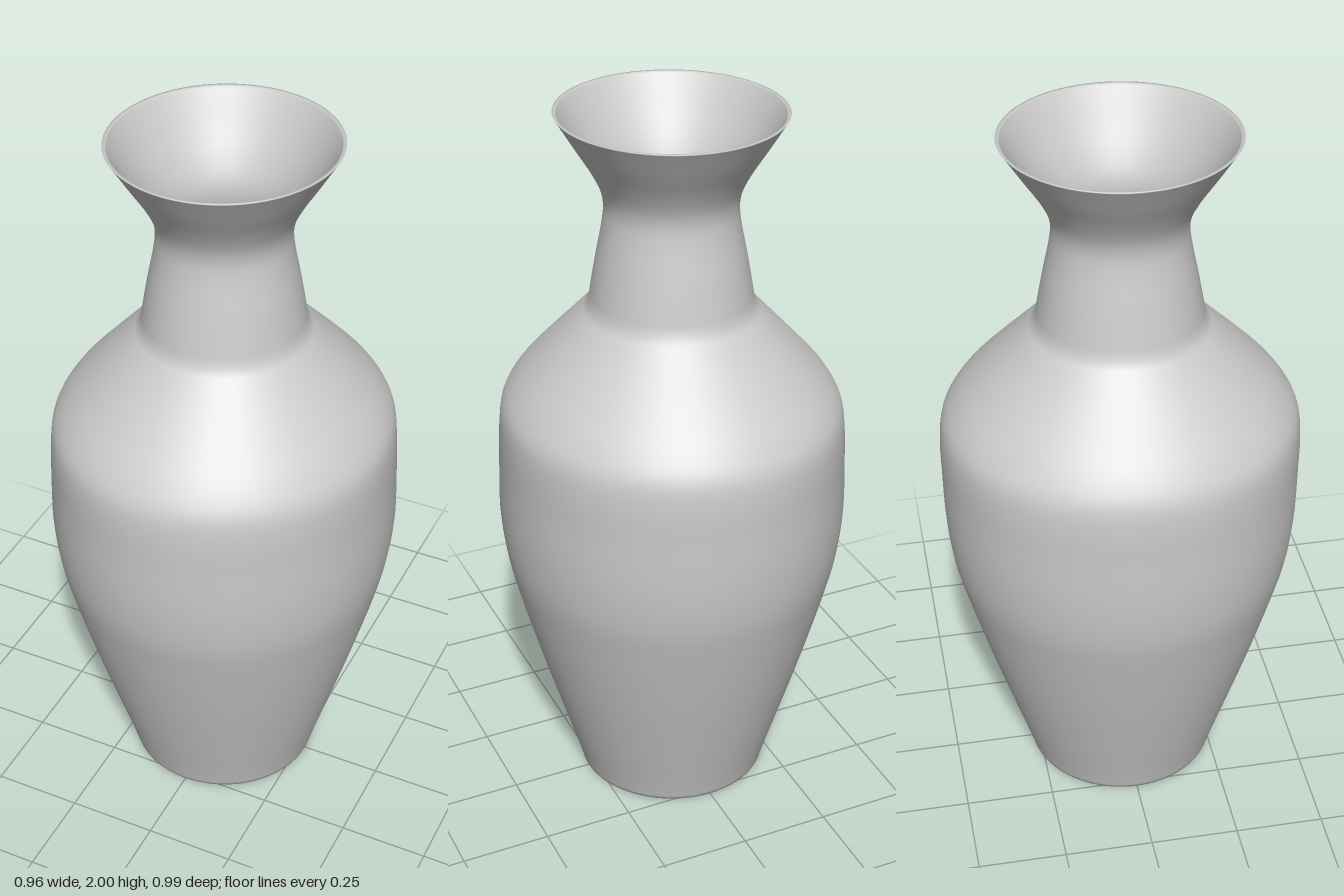
import * as THREE from 'three';

const WALL = 0.008;

// Smooth run through rows of [y, half-width in x, half-width in z]
function sampleRows(rows, steps) {
  const curve = new THREE.CatmullRomCurve3(
    rows.map(([y, rx, rz]) => new THREE.Vector3(rx, y, rz)), false, 'centripetal');
  return curve.getPoints(steps);
}

export function createModel() {
  const group = new THREE.Group();
  group.name = 'vase';

  // Tapered body up to the crease under the neck
  const body = sampleRows([
    [0, 0.27, 0.27], [0.05, 0.283, 0.284], [0.2, 0.327, 0.33], [0.4, 0.385, 0.39], [0.6, 0.438, 0.445],
    [0.72, 0.464, 0.474], [0.85, 0.478, 0.489], [1.0, 0.474, 0.493],
    [1.12, 0.467, 0.493], [1.18, 0.458, 0.483], [1.24, 0.425, 0.447],
    [1.32, 0.357, 0.375], [1.4, 0.285, 0.296], [1.47, 0.222, 0.228],
  ], 60);

  // Waisted neck and flared mouth
  const neck = sampleRows([
    [1.47, 0.222, 0.228], [1.6, 0.2, 0.204], [1.7, 0.181, 0.184], [1.75, 0.177, 0.179],
    [1.79, 0.183, 0.186], [1.845, 0.208, 0.212], [1.92, 0.253, 0.26],
    [1.98, 0.289, 0.298], [2, 0.301, 0.311],
  ], 36);

  // Closed wall loop: down the inside, round the foot, up the outside, over the lip
  const outer = [...body, ...neck.slice(1)];
  const inner = outer.map((p) => new THREE.Vector3(p.x - WALL, p.y, p.z - WALL));
  const mid = 30;
  const loop = [
    ...inner.slice(0, mid + 1).reverse(),
    ...outer,
    ...inner.slice(mid).reverse(),
  ];

  // Turn the z profile, then squeeze each ring to its own width in x
  const geometry = new THREE.LatheGeometry(loop.map((p) => new THREE.Vector2(p.z, p.y)), 96);
  const pos = geometry.attributes.position;
  const nor = geometry.attributes.normal;
  const n = new THREE.Vector3();
  for (let i = 0; i < pos.count; i++) {
    const ring = loop[i % loop.length];
    const squeeze = ring.x / ring.z;
    pos.setX(i, pos.getX(i) * squeeze);
    n.fromBufferAttribute(nor, i);
    n.x /= squeeze;
    n.normalize();
    nor.setXYZ(i, n.x, n.y, n.z);
  }

  const vessel = new THREE.Mesh(geometry,
    new THREE.MeshStandardMaterial({ color: 0xcccccc, side: THREE.DoubleSide }));
  vessel.name = 'vaseWall';
  group.add(vessel);
  return group;
}
